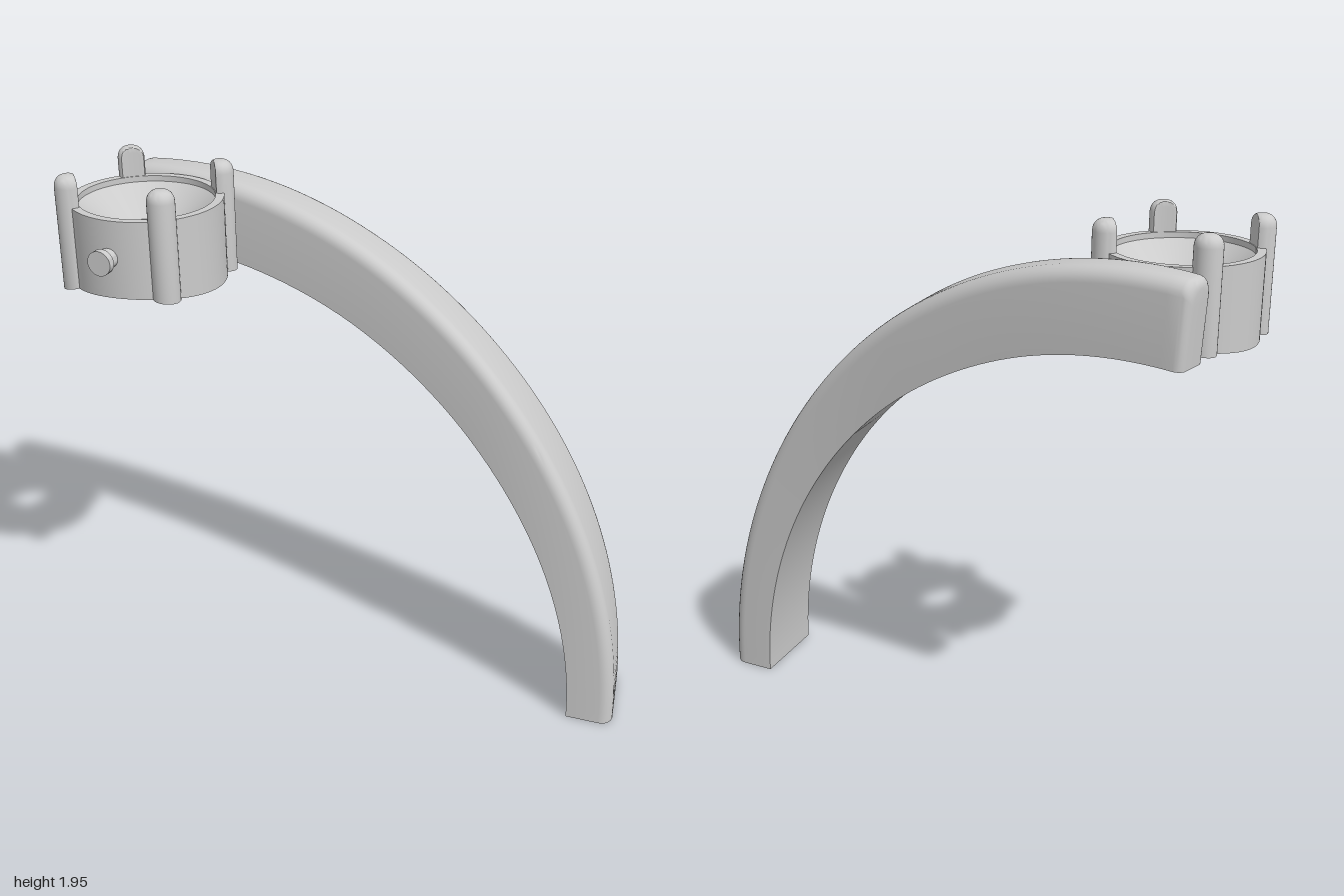
import * as THREE from 'three';
import { toCreasedNormals } from 'three/addons/utils/BufferGeometryUtils.js';

const material = new THREE.MeshStandardMaterial({ color: 0xcccccc });
const AXIS_X = -0.72;                    // centre of the arch
const CUP = { x: -0.735, z: 0.065 };     // centre of the cup

const addPart = (group, name, geometry) => {
  const mesh = new THREE.Mesh(toCreasedNormals(geometry, 0.6), material);
  mesh.name = name;
  group.add(mesh);
  return mesh;
};

// Height of the arch's underside above x
const underside = (x) => 1.57 * Math.sqrt(1 - ((x - AXIS_X) / 1.55) ** 2);

// Smooth minimum, used to level off the arm's sides near its foot
const softMin = (a, b, k) => {
  const h = Math.max(k - Math.abs(a - b), 0) / k;
  return Math.min(a, b) - h * h * k / 4;
};
const frontZ = (x) => softMin(0.285 * x + 0.003, 0.235, 0.1);
const backZ = (x) => softMin(0.19 * x - 0.222, -0.093, 0.08);

// One cross-section of the arm: square inside corners, rounded outside corners
function armSection(t, inset) {
  const outline = [[0, 0, 0]];           // [side 0 back / 1 front, depth from outside, shift from side]
  const r = 0.05, steps = 6;
  const corner = [];
  for (let i = 0; i <= steps; i++) {
    const a = (i / steps) * Math.PI / 2;
    corner.push([r * (1 - Math.sin(a)), r * (1 - Math.cos(a))]);
  }
  for (const [depth, shift] of corner) outline.push([0, depth, shift]);
  for (const [depth, shift] of corner.reverse()) outline.push([1, depth, shift]);
  outline.push([1, 0, 0]);

  const skew = 0.25 * THREE.MathUtils.smoothstep(t, 1.1, 1.6);
  const c = Math.cos(t), s = Math.sin(t);
  const outer = [AXIS_X + 1.72 * c, 1.855 * s], inner = [AXIS_X + 1.55 * c, 1.57 * s];
  const thick = Math.hypot(outer[0] - inner[0], outer[1] - inner[1]);
  return outline.map(([side, depth, shift], i) => {
    const onInside = i === 0 || i === outline.length - 1;
    const k = onInside ? 0 : 1 - (depth + inset) / thick;
    const x = inner[0] + (outer[0] - inner[0]) * k;
    const y = inner[1] + (outer[1] - inner[1]) * k;
    const z = side ? frontZ(x) - shift - inset : backZ(x) + shift + inset;
    const mid = (frontZ(x) + backZ(x)) / 2;
    return [x - skew * (z - mid), y, z];
  });
}

// Curved, tapering arm with a softened free end
function armGeometry() {
  const end = 1.676, round = 0.03, sections = [];
  for (let i = 0; i <= 64; i++) sections.push(armSection((i / 64) * (end - round / 1.72), 0));
  for (let i = 1; i <= 5; i++) {
    const a = (i / 5) * Math.PI / 2;
    sections.push(armSection(end - (round / 1.72) * (1 - Math.sin(a)), round * (1 - Math.cos(a))));
  }
  const n = sections[0].length, last = sections.length - 1;
  const points = sections.flat(), index = [];
  for (let i = 0; i < last; i++) {
    for (let j = 0; j < n; j++) {
      const k = (j + 1) % n, a = i * n + j, b = i * n + k;
      index.push(a, a + n, b, b, a + n, b + n);
    }
  }
  // Flat caps
  for (const row of [0, last]) {
    const centre = [0, 1, 2].map((d) => sections[row].reduce((sum, p) => sum + p[d], 0) / n);
    const c = points.push(centre) - 1;
    for (let j = 0; j < n; j++) {
      const a = row * n + j, b = row * n + (j + 1) % n;
      if (row === 0) index.push(c, a, b);
      else index.push(c, b, a);
    }
  }
  const geometry = new THREE.BufferGeometry();
  geometry.setAttribute('position', new THREE.Float32BufferAttribute(points.flat(), 3));
  geometry.setIndex(index);
  return geometry;
}

// Turned part placed at x, z; its base (y = 0 in the profile) follows the arch's underside
function turned(profile, x, z, segments, bore = 0) {
  const geometry = new THREE.LatheGeometry(profile.map(([r, y]) => new THREE.Vector2(r, y)), segments);
  geometry.translate(x, 0, z);
  const p = geometry.attributes.position;
  for (let i = 0; i < p.count; i++) {
    const dx = p.getX(i) - CUP.x, dz = p.getZ(i) - CUP.z, d = Math.hypot(dx, dz);
    if (d < bore) {
      p.setX(i, CUP.x + dx * bore / d);
      p.setZ(i, CUP.z + dz * bore / d);
    }
    if (p.getY(i) === 0) p.setY(i, underside(p.getX(i)));
  }
  return geometry;
}

export function createModel() {
  const model = new THREE.Group();
  model.name = 'archedArmWithCup';

  addPart(model, 'arm', armGeometry());

  // Cup with a conical seat and a through hole
  const cupProfile = [[0.12, 0], [0.265, 0], [0.265, 1.84], [0.235, 1.84], [0.235, 1.82], [0.12, 1.72], [0.12, 0]];
  addPart(model, 'cup', turned(cupProfile, CUP.x, CUP.z, 72));

  // Four round-topped posts, hollowed on the inside to clear the cup's bore
  const postProfile = [[0, 0], [0.047, 0], [0.047, 1.905]];
  for (let i = 1; i <= 6; i++) {
    const a = (i / 6) * Math.PI / 2;
    postProfile.push([0.012 + 0.035 * Math.cos(a), 1.905 + 0.04 * Math.sin(a)]);
  }
  postProfile.push([0, 1.945]);
  for (let i = 0; i < 4; i++) {
    const a = 1.02 + i * Math.PI / 2;
    const x = CUP.x + 0.26 * Math.cos(a), z = CUP.z + 0.26 * Math.sin(a);
    addPart(model, 'post' + (i + 1), turned(postProfile, x, z, 32, 0.238));
  }

  // Headed peg on the cup's front
  const pegProfile = [[0, 0.22], [0.034, 0.22], [0.034, 0.29], [0.043, 0.3], [0.043, 0.325], [0, 0.325]];
  const peg = addPart(model, 'peg', new THREE.LatheGeometry(pegProfile.map(([r, y]) => new THREE.Vector2(r, y)), 32));
  peg.rotation.set(Math.PI / 2, 0, 0.17);
  peg.position.set(CUP.x, 1.71, CUP.z);
  peg.quaternion.setFromUnitVectors(new THREE.Vector3(0, 1, 0), new THREE.Vector3(-0.17, 0, 0.985).normalize());

  return model;
}
